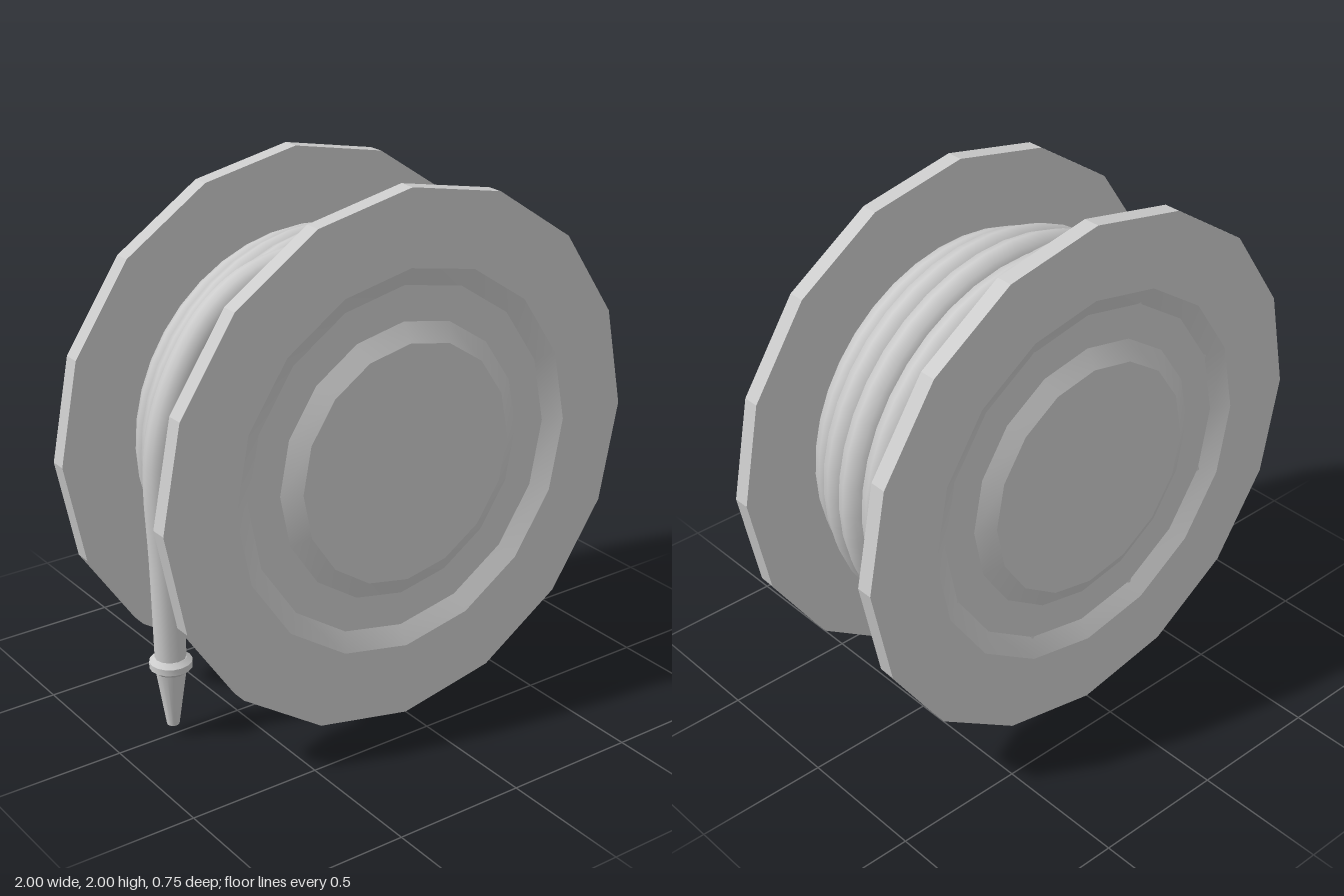
import * as THREE from 'three';
import { toCreasedNormals } from 'three/addons/utils/BufferGeometryUtils.js';

const material = new THREE.MeshStandardMaterial({ color: 0xcccccc });

function addMesh(parent, name, geometry) {
  const mesh = new THREE.Mesh(geometry, material);
  mesh.name = name;
  parent.add(mesh);
  return mesh;
}

// Turned part from [radius, height] pairs, bottom to top
function lathe(pairs, sides, crease) {
  const points = pairs.map(([r, h]) => new THREE.Vector2(r, h));
  return toCreasedNormals(new THREE.LatheGeometry(points, sides), crease);
}

export function createModel() {
  const model = new THREE.Group();
  model.name = 'hoseReel';

  // Reel parts are centred on the axle
  const reel = new THREE.Group();
  reel.name = 'reel';
  reel.position.y = 1;
  model.add(reel);

  // Sixteen-sided flanges with a bevelled ring groove on the outer face
  const flange = lathe([
    [0, 0.31], [1, 0.31], [1, 0.373], [0.72, 0.373], [0.65, 0.335],
    [0.52, 0.335], [0.45, 0.373], [0, 0.373],
  ], 16, 0.33).rotateX(Math.PI / 2);
  addMesh(reel, 'frontFlange', flange);
  addMesh(reel, 'backFlange', flange).rotation.y = Math.PI;

  // Drum under the hose
  addMesh(reel, 'drum', new THREE.CylinderGeometry(0.62, 0.62, 0.63, 32, 1, true).rotateX(Math.PI / 2));

  // Hose windings: [z, outer radius], bulging towards the middle
  const windings = new THREE.Group();
  windings.name = 'hoseWindings';
  reel.add(windings);
  const tube = 0.063;
  [[0.265, 0.72], [0.155, 0.768], [0.045, 0.787], [-0.068, 0.776], [-0.18, 0.75], [-0.275, 0.72]]
    .forEach(([z, radius], i) => {
      const ring = addMesh(windings, `winding${i + 1}`, new THREE.TorusGeometry(radius - tube, tube, 8, 40));
      ring.position.z = z;
    });

  // Loose hose end: rises out of the windings, then hangs down at the side
  const path = [];
  for (let i = 0; i <= 8; i++) {
    const a = THREE.MathUtils.degToRad(90 + i * 11.25);
    const r = 0.69 + 0.102 * THREE.MathUtils.smoothstep(i, 0, 4);
    path.push(new THREE.Vector3(Math.cos(a) * r, 1 + Math.sin(a) * r, 0));
  }
  path.push(new THREE.Vector3(-0.782, 0.7, 0), new THREE.Vector3(-0.775, 0.3, 0));
  addMesh(model, 'hoseEnd', new THREE.TubeGeometry(new THREE.CatmullRomCurve3(path), 40, 0.057, 12));

  // Nozzle: tapered tip with a bevelled collar
  const nozzle = new THREE.Group();
  nozzle.name = 'nozzle';
  nozzle.position.x = -0.775;
  model.add(nozzle);
  addMesh(nozzle, 'tip', lathe([[0, 0.045], [0.023, 0.045], [0.058, 0.28], [0, 0.28]], 16, 0.6));
  addMesh(nozzle, 'collar', lathe([
    [0, 0.265], [0.058, 0.265], [0.078, 0.282], [0.078, 0.306], [0.058, 0.322], [0, 0.322],
  ], 16, 0.5));

  return model;
}
